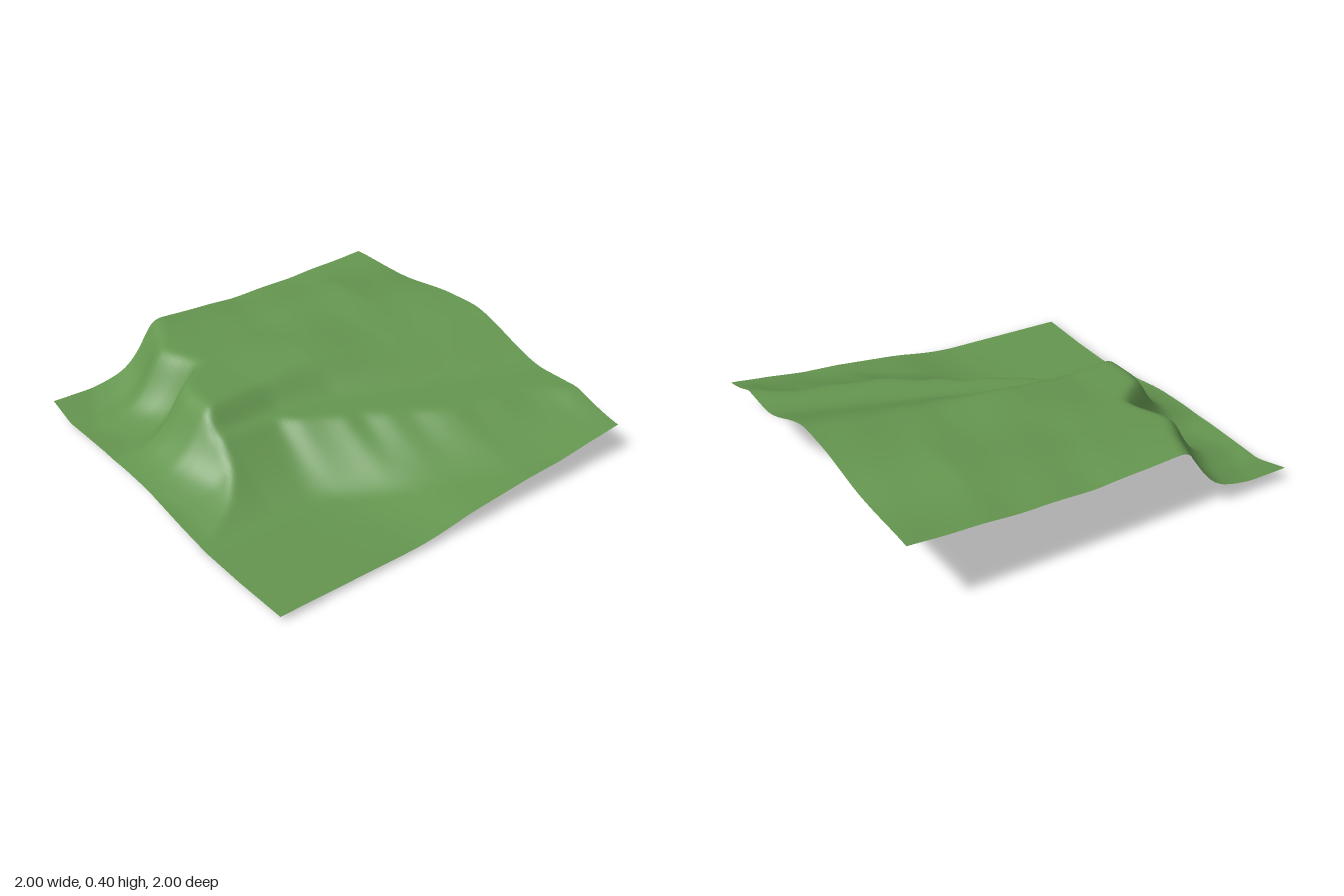
import * as THREE from 'three';

// Piecewise-linear lookup through [position, value] pairs
function along(points, t) {
  if (t <= points[0][0]) return points[0][1];
  for (let i = 1; i < points.length; i++) {
    const [a, va] = points[i - 1], [b, vb] = points[i];
    if (t <= b) return va + (vb - va) * (t - a) / (b - a);
  }
  return points[points.length - 1][1];
}
const { lerp, clamp, smoothstep } = THREE.MathUtils;

// Lowland heights along the west and the front edges
const westLow = [[-1, .075], [-.92, .055], [-.82, .03], [-.65, .04], [-.45, .05], [0, .05], [.25, .02], [.45, .003], [.7, .01], [1, .03]];
const frontLow = [[-1, .03], [-.3, .03], [0, .07], [.2, .09], [.4, .11], [.6, .12], [.8, .145], [1, .16]];
// Front lip of the terrace, and the foot of the slope below it (z by x)
const terraceLip = [[-.6, .04], [-.35, .05], [-.27, .13], [-.17, .18], [-.08, .245], [0, .25], [.1, .34], [.2, .375], [.3, .46],
  [.37, .5], [.47, .51], [.6, .56], [.77, .58], [.86, .63], [.94, .71], [1, .73]];
const slopeFoot = [[-.6, .4], [-.4, .44], [0, .74], [.4, .92], [1, 1.06]];
// Upper step between terrace and plateau (z by x)
const stepFoot = [[-.6, .03], [-.3, .02], [0, .1], [.3, .25], [1, .52]];
const stepTop = [[-.6, -.1], [-.3, -.14], [0, -.15], [.3, -.12], [1, -.05]];
// West cliff lip with its gully (x by z), and the cliff profile by distance
const cliffLip = [[-1, -.36], [-.85, -.42], [-.7, -.5], [-.63, -.48], [-.54, -.44], [-.46, -.42], [-.4, -.5], [-.34, -.585], [-.25, -.61],
  [-.08, -.61], [.02, -.57], [.15, -.52], [1, -.52]];
const cliffFall = [[0, 1], [.03, .96], [.06, .86], [.1, .63], [.15, .39], [.2, .23], [.25, .13], [.32, .06], [.42, 0]];
// Plateau heights by x, for three rows from back to front
const plateauRows = [
  [[-.4, .355], [.1, .332], [.5, .342], [1, .37]],
  [[-.4, .35], [0, .358], [.6, .395], [1, .365]],
  [[-.6, .35], [-.35, .35], [0, .383], [.4, .372], [1, .408]],
];

function plateau(x, z) {
  const [back, middle, front] = plateauRows.map((row) => along(row, x));
  const h = z < -.6
    ? lerp(back, middle, smoothstep(z, -1, -.6))
    : lerp(middle, front, smoothstep(z, -.6, -.2));
  const ripple = smoothstep(x, -.4, 0) * .003;
  return h + ripple * Math.sin(7 * x + 9 * z) * Math.cos(11 * x - 5 * z);
}

function height(x, z) {
  const low = lerp(along(westLow, z), along(frontLow, x), smoothstep(x, -.5, .1));
  const top = plateau(x, z);
  const lip = along(terraceLip, x);
  // terrace, upper step and front slope
  const step = smoothstep(-z, -along(stepFoot, x), -along(stepTop, x));
  let south = lerp(.25, top, step);
  if (z > lip) {
    const t = clamp((z - lip) / (along(slopeFoot, x) - lip), 0, 1);
    south = lerp(low, .25, Math.pow(1 - t, 1.5));
  }
  // west cliff
  const west = low + (top - low) * along(cliffFall, along(cliffLip, z) - x);
  return Math.max(0, Math.min(south, west));
}

export function createModel() {
  const group = new THREE.Group();
  group.name = 'hillside';
  const grass = new THREE.MeshStandardMaterial({ color: 0x659650, side: THREE.DoubleSide });
  grass.name = 'grass green';

  // Terrain sheet shaped by the height rule
  const geometry = new THREE.PlaneGeometry(2, 2, 110, 110).rotateX(-Math.PI / 2);
  const p = geometry.attributes.position;
  const heights = [];
  for (let i = 0; i < p.count; i++) heights.push(height(p.getX(i), p.getZ(i)));

  // Soften the creases with a small neighbourhood average
  const n = 111;
  for (let r = 0; r < n; r++) for (let c = 0; c < n; c++) {
    let sum = 0;
    for (let dr = -1; dr <= 1; dr++) for (let dc = -1; dc <= 1; dc++) {
      sum += heights[clamp(r + dr, 0, n - 1) * n + clamp(c + dc, 0, n - 1)];
    }
    p.setY(r * n + c, sum / 9);
  }
  geometry.computeVertexNormals();
  geometry.computeBoundingBox();
  geometry.translate(0, -geometry.boundingBox.min.y, 0);

  const terrain = new THREE.Mesh(geometry, grass);
  terrain.name = 'terrain';
  group.add(terrain);
  return group;
}
